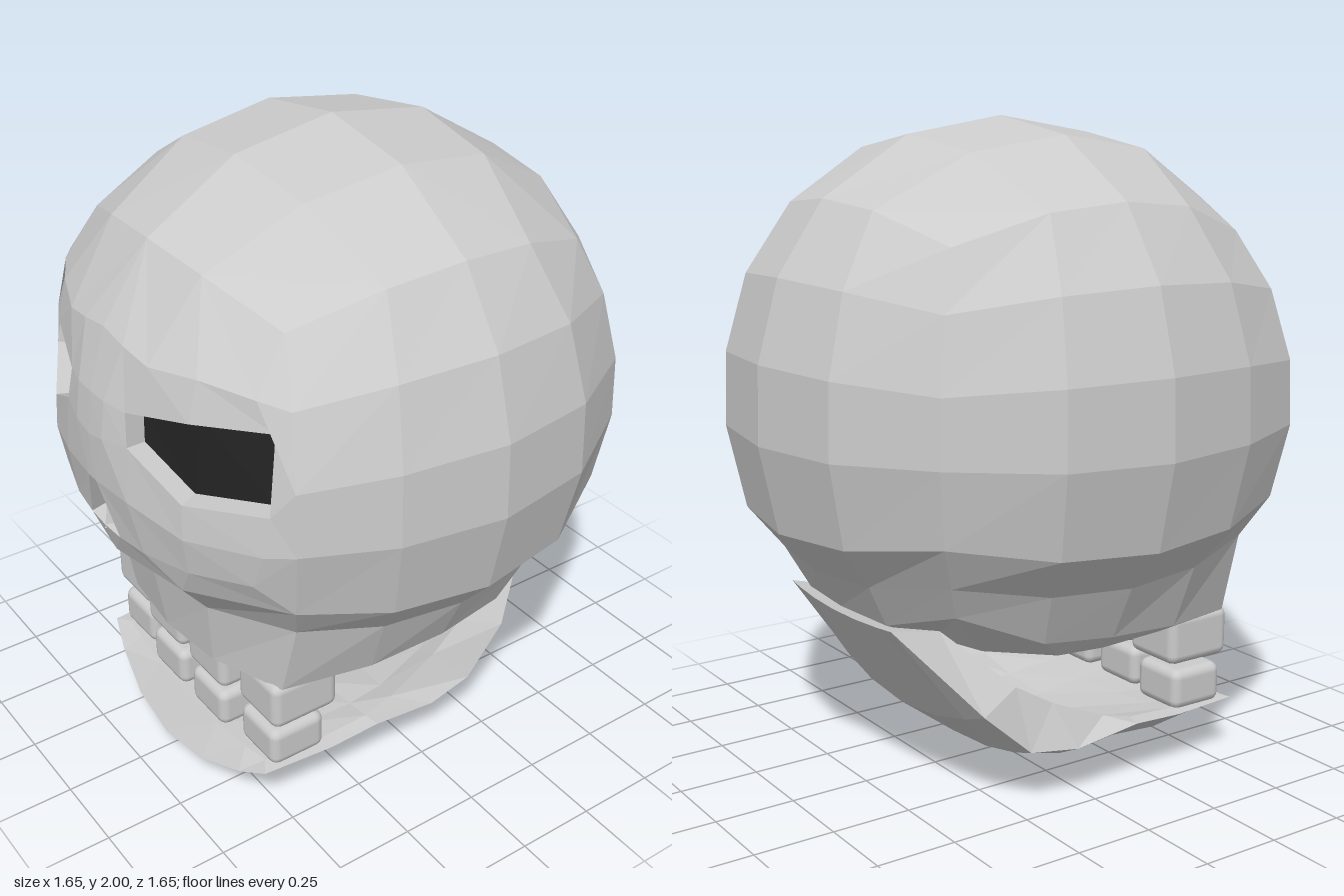
import * as THREE from 'three';
import { RoundedBoxGeometry } from 'three/addons/geometries/RoundedBoxGeometry.js';

const CENTER = new THREE.Vector3(0, 1.17, 0);
const grey = new THREE.MeshStandardMaterial({ color: 0xcccccc, flatShading: true, side: THREE.DoubleSide });
const dark = new THREE.MeshStandardMaterial({ color: 0x222222, flatShading: true, side: THREE.DoubleSide });
const smooth = new THREE.MeshStandardMaterial({ color: 0xcccccc });
const tan = (deg) => Math.tan(THREE.MathUtils.degToRad(deg));
const V = (x, y, z) => new THREE.Vector3(x, y, z);

// Faceted mesh from quads; with a centre given, every face is turned away from it
function quadMesh(name, quads, center, material = grey) {
  const pos = [];
  const n = V(0, 0, 0), e = V(0, 0, 0), m = V(0, 0, 0);
  for (const [a, b, c, d] of quads) {
    for (let t of [[a, b, c], [a, c, d]]) {
      n.subVectors(t[1], t[0]).cross(e.subVectors(t[2], t[0]));
      if (n.lengthSq() < 1e-14) continue;
      m.copy(t[0]).add(t[1]).add(t[2]).divideScalar(3);
      if (center && n.dot(m.sub(center)) < 0) t = [t[0], t[2], t[1]];
      t.forEach((p) => pos.push(p.x, p.y, p.z));
    }
  }
  const g = new THREE.BufferGeometry();
  g.setAttribute('position', new THREE.Float32BufferAttribute(pos, 3));
  g.computeVertexNormals();
  const mesh = new THREE.Mesh(g, material);
  mesh.name = name;
  return mesh;
}

// Quads between neighbouring rows of points
function gridQuads(rows, closed = false, skip = () => false) {
  const quads = [];
  for (let i = 0; i + 1 < rows.length; i++) {
    const n = rows[i].length;
    for (let j = 0; j < (closed ? n : n - 1); j++) {
      const k = (j + 1) % n;
      if (!skip(i, j)) quads.push([rows[i][j], rows[i][k], rows[i + 1][k], rows[i + 1][j]]);
    }
  }
  return quads;
}

// Point on the rounded-cube skull in a direction; the temples beside the face bulge sideways
function onSkull(x, y, z, depth = 1) {
  const p = V(x, y, z).normalize();
  p.multiplyScalar(0.88 - 0.05 * (p.x ** 4 + p.y ** 4 + p.z ** 4));
  if (x < 0) {
    const side = Math.max(0, 1 - 2 * Math.abs(Math.abs(z / x) - 1));
    const level = Math.max(0, 1 - (y / Math.max(-x, Math.abs(z))) ** 2);
    p.z += Math.sign(z) * 0.065 * side * level;
    p.x += 0.02 * side * level;
  }
  return p.multiplyScalar(depth).add(CENTER);
}

// Slope of a row of faces, kept nearly level towards the corners
const rise = (u, v) => tan(v) * (v < 45 ? 1 + 0.14 * tan(u) ** 2 : 1);
const turn = (f, u) => [[1, u], [-u, 1], [-1, -u], [u, -1]][f];
const STEPS = [-45, -22.5, 0, 22.5, 45];
const ROWS = [45, 27.5, 10.5, -5.5, -24];

// Rounded cube: top plus three plain sides
function cranium() {
  const quads = gridQuads(STEPS.map((a) => STEPS.map((b) => onSkull(tan(a), 1, tan(b)))));
  for (const f of [0, 1, 3]) {
    quads.push(...gridQuads(ROWS.map((v) => STEPS.map((u) => {
      const [x, z] = turn(f, tan(u));
      return onSkull(x, rise(u, v), z);
    }))));
  }
  return quadMesh('cranium', quads, CENTER);
}

// Lower skull: rings tucking in below the cranium, closed by a flat underside
function lowerSkull() {
  const ring = (fn) => {
    const pts = [];
    for (let f = 0; f < 4; f++) {
      for (const u of STEPS.slice(0, 4)) pts.push(fn(...turn(f, tan(u)), u));
    }
    return pts;
  };
  const top = ring((x, z, u) => onSkull(x, rise(u, -24), z));
  const mid = ring((x, z) => {
    const p = onSkull(x, tan(-36), z, 0.95);
    p.y = p.y * 0.5 + 0.35;
    return p;
  });
  const rim = ring((x, z, u) => {
    const p = onSkull(x, -1, z, 0.95);
    p.y = 0.53 + 0.08 * p.x + (u === -45 && x > 0 ? 0.08 : 0);
    if (p.x < 0) p.x *= 1.08;
    return p;
  });
  const base = rim.map((p) => V(p.x * (p.x > 0 ? 0.65 : 0.93), 0.485, p.z * (p.x > 0.4 ? 0.75 : 0.92)));
  const middle = base.map(() => V(0, 0.485, 0));
  return quadMesh('lowerSkull', gridQuads([top, mid, rim, base, middle], true), CENTER);
}

// Face: half grid of [sideways, upward] angles, mirrored, with eye and nose openings
function face() {
  const half = [
    [[0, 45], [0, 45], [22.5, 45], [22.5, 45], [45, 45], [45, 45]],
    [[0, 27], [8, 26], [16, 25], [28, 27], [39, 27.5], [45, 27.5]],
    [[0, 14], [5, 14], [11, 14], [27, 18], [42, 22], [45, 10.5]],
    [[0, 5], [5, 6], [12, 7], [26, 0], [41, 3], [45, 10.5]],
    [[0, -5], [1.5, -5], [12, -5], [26, -8], [40, -7], [45, -5.5]],
    [[0, -17], [6, -17], [14, -17], [26, -17], [38, -16], [45, -5.5]],
    [[0, -24], [0, -24], [22.5, -24], [22.5, -24], [45, -24], [45, -24]],
  ];
  const isHole = (i, j) => (i === 2 && (j === 2 || j === 3)) || (i === 4 && j === 0);
  const skin = [], walls = [], backs = [];
  for (const s of [1, -1]) {
    const layer = (depth) => half.map((row, i) => row.map(([u, v], j) => {
      const sunk = (i === 2 || i === 3) && j > 1 && j < 5 ? 0.985 : 1;
      return onSkull(-1, rise(u, v), s * tan(u), sunk * depth);
    }));
    const o = layer(1), q = layer(0.92);
    skin.push(...gridQuads(o, false, isHole));
    backs.push(...gridQuads(q, false, (i, j) => !isHole(i, j)));
    const wall = (a, b, c, d) => walls.push([o[a][b], o[c][d], q[c][d], q[a][b]]);
    for (let i = 0; i < 6; i++) {
      for (let j = 0; j < 5; j++) {
        if (!isHole(i, j)) continue;
        wall(i, j, i, j + 1);
        wall(i + 1, j, i + 1, j + 1);
        if (j > 0 && !isHole(i, j - 1)) wall(i, j, i + 1, j);
        if (!isHole(i, j + 1)) wall(i, j + 1, i + 1, j + 1);
      }
    }
  }
  const group = new THREE.Group();
  group.name = 'face';
  group.add(
    quadMesh('facePlate', skin, CENTER),
    quadMesh('socketWalls', walls),
    quadMesh('socketBacks', backs, CENTER, dark),
  );
  // Small wedge dividing the nose opening
  const septum = new THREE.Mesh(new THREE.ConeGeometry(0.045, 0.12, 4), grey);
  septum.name = 'noseDivider';
  septum.position.set(-0.77, 0.98, 0);
  septum.rotation.z = 0.2;
  group.add(septum);
  return group;
}

// Jaw: bowl-shaped band from the back of the skull to the chin
function jaw() {
  // outer middle x,y | outer edge x,y | half width | inner edge x,y | inner middle x,y
  const stations = [
    [0.6, 0.57, 0.58, 0.58, 0.3, 0.4, 0.54, 0.48, 0.54],
    [0.37, 0.23, 0.36, 0.32, 0.445, 0.22, 0.37, 0.28, 0.28],
    [0.18, 0.09, 0.21, 0.185, 0.465, 0.1, 0.3, 0.12, 0.17],
    [0.03, 0.03, 0.05, 0.165, 0.48, -0.08, 0.225, 0, 0.13],
    [-0.14, 0.015, -0.17, 0.195, 0.485, -0.18, 0.2, -0.16, 0.14],
    [-0.3, 0, -0.34, 0.185, 0.48, -0.34, 0.19, -0.32, 0.16],
    [-0.65, 0.06, -0.57, 0.185, 0.46, -0.54, 0.19, -0.57, 0.18],
  ];
  const S = [-1, -0.78, -0.42, 0, 0.42, 0.78, 1];
  const arc = (cx, cy, ex, ey, w) => S.map((s) =>
    V(cx + (ex - cx) * s * s, cy + (ey - cy) * s * s, w * s));
  const rings = stations.map(([cx, cy, ex, ey, w, ix, iy, mx, my]) =>
    [...arc(cx, cy, ex, ey, w), ...arc(mx, my, ix, iy, w * 0.9).reverse()]);
  const quads = gridQuads(rings, true);
  const first = rings[0], last = rings[rings.length - 1], n = first.length - 1;
  for (let j = 0; j + 1 < S.length; j++) {
    quads.push([last[j], last[j + 1], last[n - 1 - j], last[n - j]]);
    quads.push([first[n - j], first[n - 1 - j], first[j + 1], first[j]]);
  }
  return quadMesh('jaw', quads);
}

// Row of four rounded teeth, the inner pair set slightly forward
function teeth(name, x, y, width, height, depth, spacing) {
  const group = new THREE.Group();
  group.name = name;
  for (const k of [-1.5, -0.5, 0.5, 1.5]) {
    const tooth = new THREE.Mesh(new RoundedBoxGeometry(width, height, depth, 2, 0.03), smooth);
    tooth.name = 'tooth';
    tooth.position.set(x - (Math.abs(k) < 1 ? 0.03 : 0), y, k * spacing);
    group.add(tooth);
  }
  return group;
}

export function createModel() {
  const model = new THREE.Group();
  model.name = 'skull';
  model.add(
    cranium(), lowerSkull(), face(), jaw(),
    teeth('upperTeeth', -0.425, 0.42, 0.23, 0.16, 0.21, 0.247),
    teeth('lowerTeeth', -0.44, 0.245, 0.19, 0.13, 0.19, 0.24),
  );
  return model;
}
